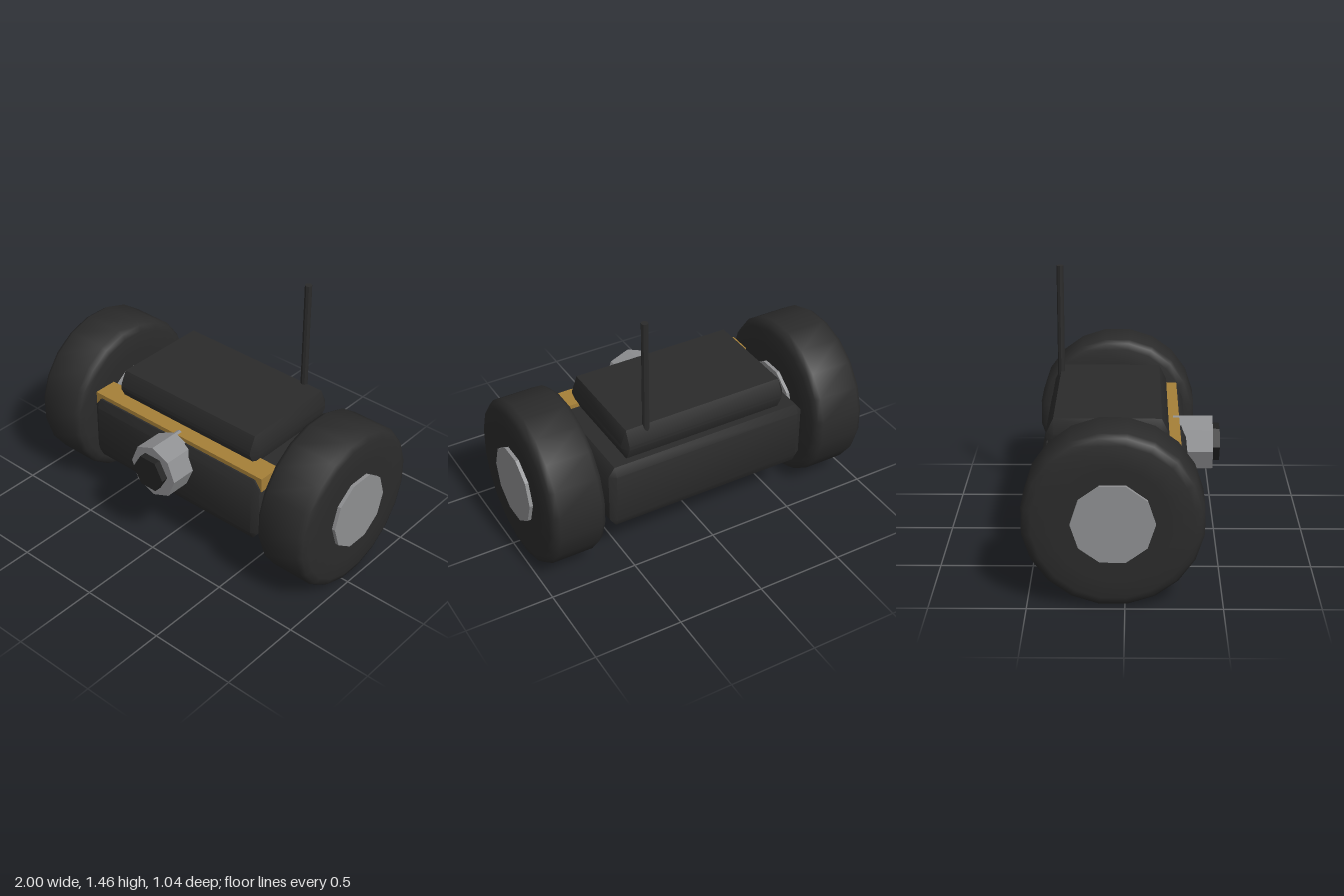
import * as THREE from 'three';
import { toCreasedNormals } from 'three/addons/utils/BufferGeometryUtils.js';
import { ConvexGeometry } from 'three/addons/geometries/ConvexGeometry.js';

const material = (name, color) => {
  const m = new THREE.MeshStandardMaterial({ color });
  m.name = name;
  return m;
};

// Box with chamfered edges, given by half sizes h and chamfers c
function chamferBox(h, c) {
  const points = [];
  for (const sx of [-1, 1]) for (const sy of [-1, 1]) for (const sz of [-1, 1])
    for (let axis = 0; axis < 3; axis++) {
      const p = h.map((v, i) => (i === axis ? v : v - c[i]));
      points.push(new THREE.Vector3(p[0] * sx, p[1] * sy, p[2] * sz));
    }
  return toCreasedNormals(new ConvexGeometry(points), 0.7);
}

export function createModel() {
  const black = material('black plastic', 0x2b2b2b);
  const lensBlack = material('lens black', 0x222222);
  const grey = material('grey metal', 0x8e8f91);
  const gold = material('ochre trim', 0xa57f38);

  const model = new THREE.Group();
  model.name = 'rover';
  const add = (parent, name, geometry, mat, x, y, z) => {
    const mesh = new THREE.Mesh(geometry, mat);
    mesh.name = name;
    mesh.position.set(x, y, z);
    parent.add(mesh);
    return mesh;
  };

  // Chassis, raised cover and the trim strip across the front
  add(model, 'chassis', chamferBox([0.607, 0.195, 0.39], [0.037, 0.05, 0.025]), black, 0, 0.465, -0.06);
  add(model, 'topCover', chamferBox([0.505, 0.095, 0.325], [0.03, 0.085, 0.04]), black, 0, 0.745, -0.095);
  add(model, 'trimStrip', new THREE.BoxGeometry(1.226, 0.085, 0.14), gold, 0, 0.6425, 0.225);

  // Wheels: rounded tyre with a hub showing on both sides
  const profile = [
    [0, -0.16], [0.3, -0.16], [0.415, -0.16], [0.45, -0.147], [0.468, -0.12],
    [0.468, 0.12], [0.45, 0.147], [0.415, 0.16], [0.3, 0.16], [0, 0.16],
  ].map(([r, y]) => new THREE.Vector2(r, y));
  const tyre = toCreasedNormals(new THREE.LatheGeometry(profile, 20, Math.PI / 20), 0.9).rotateZ(-Math.PI / 2);
  const hub = toCreasedNormals(new THREE.CylinderGeometry(0.215, 0.215, 0.36, 10), 0.3).rotateZ(-Math.PI / 2);
  for (const [side, label] of [[1, 'left'], [-1, 'right']]) {
    const wheel = new THREE.Group();
    wheel.name = label + 'Wheel';
    wheel.position.set(side * 0.82, 0.465, -0.06);
    add(wheel, 'tyre', tyre, black, 0, 0, 0);
    add(wheel, 'hub', hub, grey, 0, 0, 0);
    model.add(wheel);
  }

  // Camera: octagonal housing with a hexagonal lens
  const prism = (r, depth, sides, turn) =>
    toCreasedNormals(new THREE.CylinderGeometry(r, r, depth, sides, 1, false, turn), 0.3).rotateX(Math.PI / 2);
  add(model, 'cameraHousing', prism(0.158, 0.22, 8, 0), grey, 0, 0.533, 0.37);
  add(model, 'cameraLens', prism(0.107, 0.08, 6, Math.PI / 6), lensBlack, 0, 0.54, 0.48);

  // Antenna
  add(model, 'antenna', toCreasedNormals(new THREE.CylinderGeometry(0.02, 0.02, 0.665, 8), 0.3),
    black, 0.355, 1.1325, -0.378);

  return model;
}
